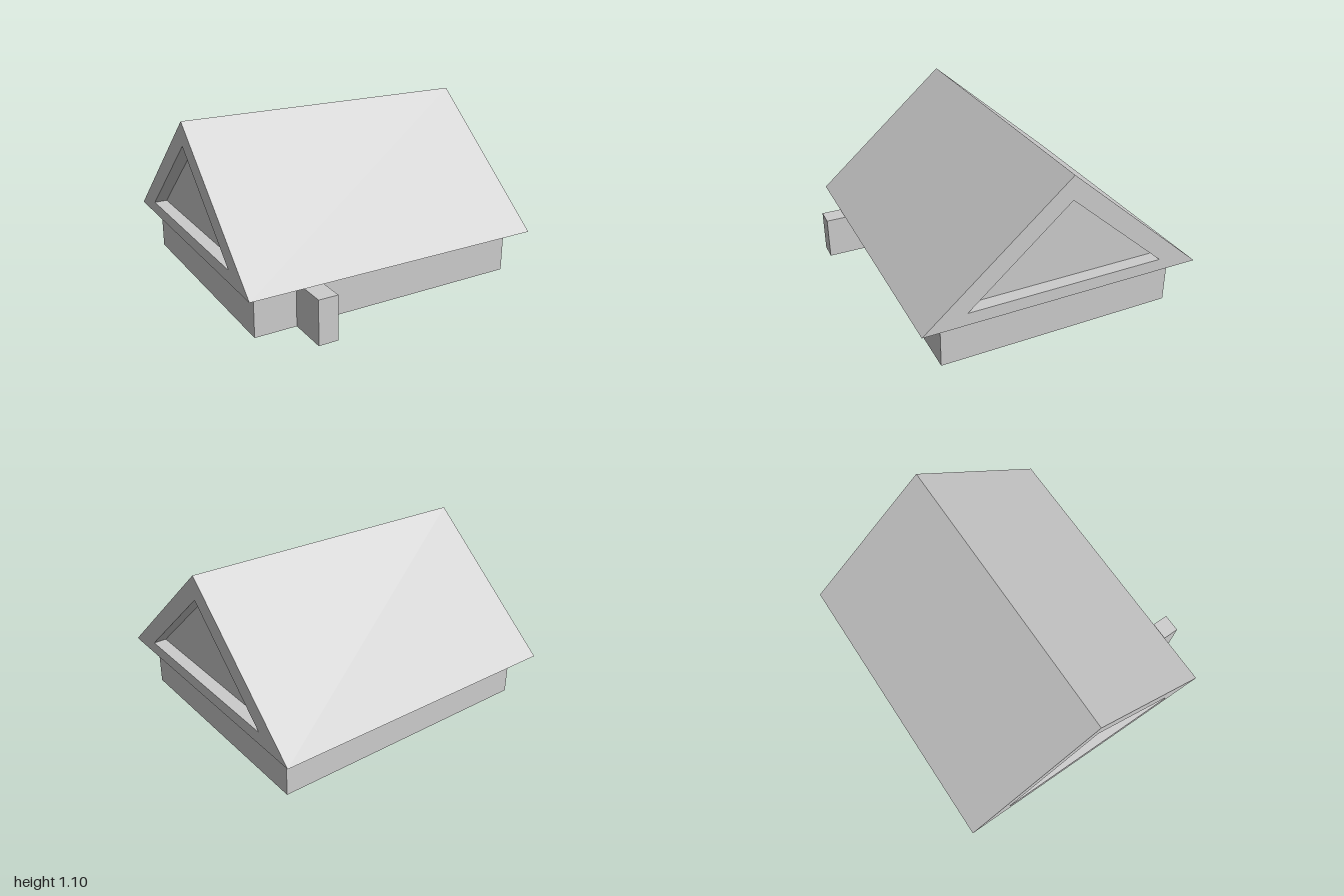
import * as THREE from 'three';

const material = new THREE.MeshStandardMaterial({ color: 0xcccccc, flatShading: true });
const CENTER_Z = -0.06; // the house sits slightly back, making room for the porch block

function add(parent, name, geometry, x, y, z) {
  const mesh = new THREE.Mesh(geometry, material);
  mesh.name = name;
  mesh.position.set(x, y, z);
  parent.add(mesh);
  return mesh;
}

// Isosceles gable outline, counter-clockwise
function triangle(halfWidth, base, apex) {
  return [[-halfWidth, base], [halfWidth, base], [0, apex]].map(([x, y]) => new THREE.Vector2(x, y));
}

export function createModel() {
  const house = new THREE.Group();
  house.name = 'house';

  // Low walls
  add(house, 'walls', new THREE.BoxGeometry(1.83, 0.305, 1.56), 0, 0.1525, CENTER_Z);

  // Gabled roof, with a triangular opening running along its length
  const opening = triangle(0.645, 0.385, 0.945);
  const profile = new THREE.Shape(triangle(0.92, 0.305, 1.1));
  profile.holes.push(new THREE.Path(opening));
  const roof = new THREE.ExtrudeGeometry(profile, { depth: 2, bevelEnabled: false });
  roof.translate(0, 0, -1).rotateY(Math.PI / 2);
  add(house, 'roof', roof, 0, 0, CENTER_Z);

  // Recessed gable walls closing the opening at both ends, flush with the walls below
  for (const side of [1, -1]) {
    const gable = new THREE.ShapeGeometry(new THREE.Shape(opening));
    gable.rotateY(side * Math.PI / 2);
    add(house, side > 0 ? 'leftGable' : 'rightGable', gable, side * 0.915, 0, CENTER_Z);
  }

  // Small block projecting from the front wall
  add(house, 'entranceBlock', new THREE.BoxGeometry(0.125, 0.283, 0.26), -0.583, 0.1415, 0.85);

  return house;
}
